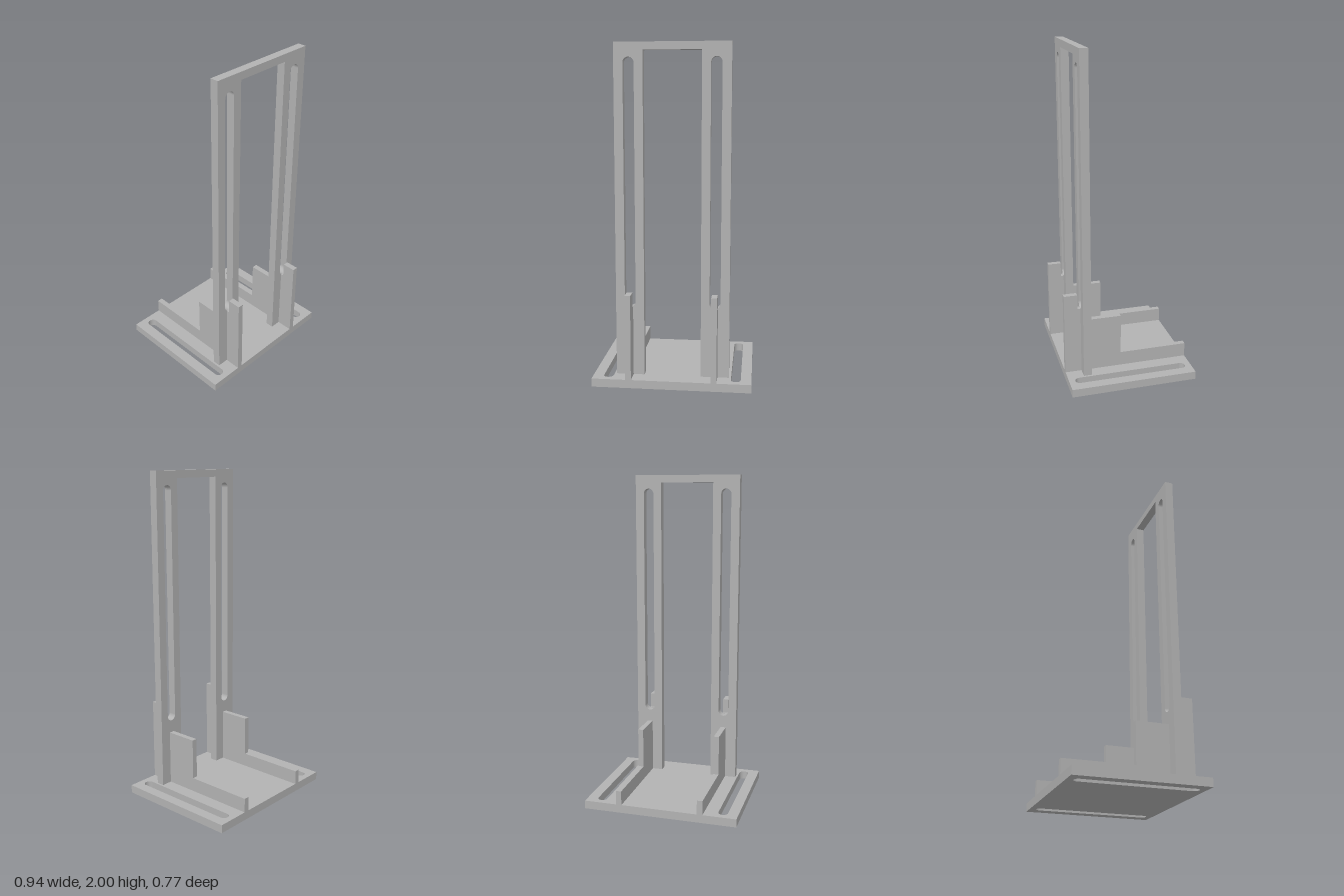
import * as THREE from 'three';

const grey = new THREE.MeshStandardMaterial({ color: 0xb2b2b2 });
grey.name = 'grey';

// Closed shape or path through a list of points
function polygon(points) {
  return new THREE.Shape(points.map(([x, y]) => new THREE.Vector2(x, y)));
}

// Vertical slot with round ends
function slot(x, bottom, top, r) {
  const p = new THREE.Path();
  p.moveTo(x + r, bottom + r);
  p.lineTo(x + r, top - r);
  p.absarc(x, top - r, r, 0, Math.PI, false);
  p.lineTo(x - r, bottom + r);
  p.absarc(x, bottom + r, r, Math.PI, Math.PI * 2, false);
  return p;
}

function extrude(shape, depth) {
  return new THREE.ExtrudeGeometry(shape, { depth, bevelEnabled: false, curveSegments: 16 });
}

export function createModel() {
  const model = new THREE.Group();
  model.name = 'slottedStand';
  const add = (name, geometry) => {
    const mesh = new THREE.Mesh(geometry, grey);
    mesh.name = name;
    model.add(mesh);
  };

  // Base plate with two long slots, laid flat
  const baseTop = 0.05;
  const base = polygon([[-0.47, -0.385], [0.47, -0.385], [0.47, 0.385], [-0.47, 0.385]]);
  for (const s of [-1, 1]) base.holes.push(slot(s * 0.378, -0.348, 0.348, 0.029));
  add('basePlate', extrude(base, baseTop).rotateX(-Math.PI / 2));

  // Upright frame: two slotted legs joined by a top bar
  const frame = polygon([
    [-0.336, baseTop], [-0.168, baseTop], [-0.168, 1.955], [0.168, 1.955],
    [0.168, baseTop], [0.336, baseTop], [0.336, 2], [-0.336, 2],
  ]);
  for (const s of [-1, 1]) frame.holes.push(slot(s * 0.251, 0.465, 1.917, 0.032));
  add('uprightFrame', extrude(frame, 0.05).translate(0, 0, 0.235));

  // Stepped ribs in front of and behind each leg; profile is (z, y)
  const ribWidth = 0.034;
  const frontRib = [[0.285, baseTop], [0.385, baseTop], [0.385, 0.557],
    [0.303, 0.557], [0.303, 0.467], [0.285, 0.467]];
  const backRib = [[-0.385, baseTop], [0.235, baseTop], [0.235, 0.387],
    [0.035, 0.387], [0.035, 0.137], [-0.385, 0.137]];
  for (const [side, s] of [['left', 1], ['right', -1]]) {
    for (const [name, profile] of [['FrontRib', frontRib], ['BackRib', backRib]]) {
      const geometry = extrude(polygon(profile), ribWidth)
        .translate(0, 0, -ribWidth / 2)
        .rotateY(-Math.PI / 2)
        .translate(s * 0.251, 0, 0);
      add(side + name, geometry);
    }
  }
  return model;
}
